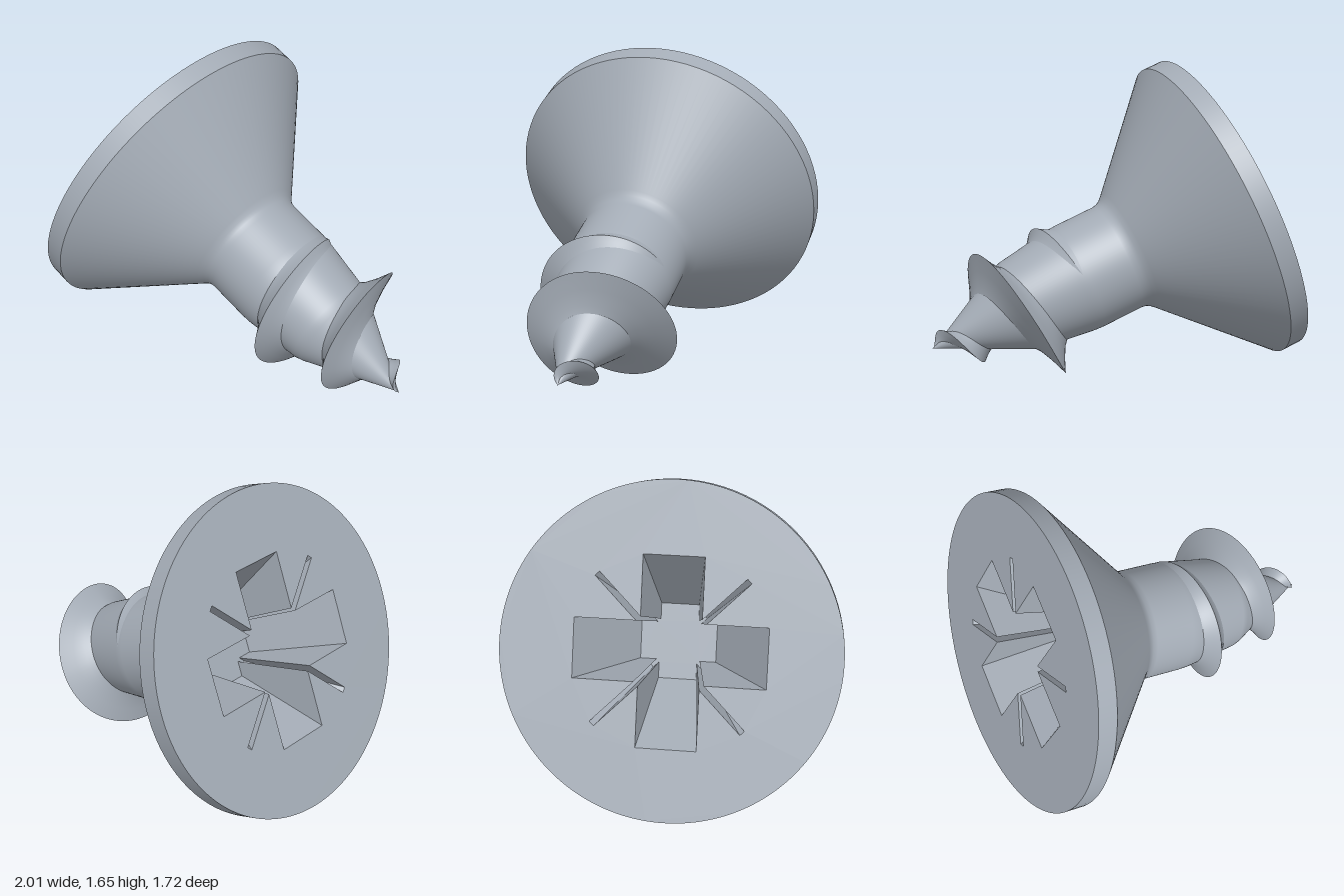
import * as THREE from 'three';

const HEAD_R = 0.867, RIM = 0.105, LENGTH = 1.8;

// radius of the bare shank at a distance along the screw
function shankRadius(t) {
  if (t < 0.95) return 0.305;
  if (t < 1.3) return THREE.MathUtils.mapLinear(t, 0.95, 1.3, 0.305, 0.253);
  return Math.max(0, THREE.MathUtils.mapLinear(t, 1.3, LENGTH, 0.253, 0));
}

// cross outline with a thin diagonal slit in each inner corner
function crossPoints(reach, w, slit, s) {
  const pts = [];
  for (let k = 0; k < 4; k++) {
    const corner = [[reach, -w], [reach, w], [w + s, w], [slit + s, slit], [slit, slit + s], [w, w + s]];
    for (const [x, y] of corner) {
      pts.push(new THREE.Vector2(x, y).rotateAround(new THREE.Vector2(), k * Math.PI / 2));
    }
  }
  return pts;
}

// tapered side walls of the drive recess
function recessWalls(top, bottom, depth) {
  const pos = [];
  top.forEach((p, i) => {
    const j = (i + 1) % top.length, q = top[j], a = bottom[i], b = bottom[j];
    pos.push(p.x, p.y, 0, q.x, q.y, 0, a.x, a.y, -depth);
    pos.push(q.x, q.y, 0, b.x, b.y, -depth, a.x, a.y, -depth);
  });
  const g = new THREE.BufferGeometry();
  g.setAttribute('position', new THREE.Float32BufferAttribute(pos, 3));
  g.computeVertexNormals();
  return g;
}

// one flank of the helical thread: side +1 faces the tip, -1 the head
function threadFlank(side) {
  // per quarter turn: crest radius, distance along the screw, half width of the root
  const path = new THREE.CatmullRomCurve3([
    [0.295, 0.93, 0.07], [0.33, 1.008, 0.08], [0.38, 1.1, 0.09], [0.43, 1.2, 0.095],
    [0.44, 1.29, 0.095], [0.375, 1.383, 0.09], [0.285, 1.49, 0.085], [0.2, 1.575, 0.075],
    [0.14, 1.66, 0.06], [0.08, 1.74, 0.04], [0.005, LENGTH, 0.01],
  ].map((p) => new THREE.Vector3(...p)));
  const steps = 240, cols = 4, pos = [], index = [];
  for (let n = 0; n <= steps; n++) {
    const { x: crest, y: t, z: w } = path.getPoint(n / steps);
    const ang = (-0.25 + 2.5 * n / steps) * Math.PI * 2;
    const root = Math.max(0, shankRadius(t + side * w) - 0.008);
    for (let c = 0; c < cols; c++) {
      const f = c / (cols - 1);
      const r = THREE.MathUtils.lerp(root, crest, Math.pow(f, 1.4));
      pos.push(-Math.sin(ang) * r, t + side * w * (1 - f), -Math.cos(ang) * r);
      if (n < steps && c < cols - 1) {
        const a = n * cols + c, b = a + cols;
        if (side > 0) index.push(a, a + 1, b, b, a + 1, b + 1);
        else index.push(a, b, a + 1, b, b + 1, a + 1);
      }
    }
  }
  const g = new THREE.BufferGeometry();
  g.setAttribute('position', new THREE.Float32BufferAttribute(pos, 3));
  g.setIndex(index);
  g.computeVertexNormals();
  return g;
}

export function createModel() {
  const model = new THREE.Group();
  model.name = 'screw';
  const steel = new THREE.MeshStandardMaterial({ color: 0xa3abb5 });
  steel.name = 'steel';

  // screw is built along +y from the head face, then tilted
  const screw = new THREE.Group();
  screw.name = 'tiltedScrew';
  const add = (name, geometry, parent = screw) => {
    const mesh = new THREE.Mesh(geometry, steel);
    mesh.name = name;
    parent.add(mesh);
    return mesh;
  };
  const lathe = (pts) => new THREE.LatheGeometry(pts.map((p) => new THREE.Vector2(...p)), 96);

  // head rim, then countersunk cone blending into the shank
  add('headRim', lathe([[HEAD_R, 0], [HEAD_R, RIM]]));
  add('headConeAndShank', lathe([
    [HEAD_R, RIM], [0.345, 0.612], [0.323, 0.636], [0.31, 0.66], [0.305, 0.69],
    [0.305, 0.92], [0.302, 0.97], [0.258, 1.28], [0.244, 1.32], [0.01, 1.78], [0, LENGTH],
  ]));

  // flat head face with the cross recess
  const depth = 0.45;
  const top = crossPoints(0.49, 0.155, 0.37, 0.022);
  const bottom = crossPoints(0.2, 0.1, 0.13, 0.015);
  const face = new THREE.Shape().absarc(0, 0, HEAD_R, 0, Math.PI * 2);
  face.holes.push(new THREE.Path(top));
  const drive = new THREE.Group();
  drive.name = 'headFaceAndRecess';
  drive.rotation.x = Math.PI / 2;
  add('headFace', new THREE.ShapeGeometry(face, 96), drive);
  add('recessWalls', recessWalls(top, bottom, depth), drive);
  add('recessFloor', new THREE.ShapeGeometry(new THREE.Shape(bottom)), drive).position.z = -depth;
  screw.add(drive);

  // thread
  add('threadTipFlank', threadFlank(1));
  add('threadHeadFlank', threadFlank(-1));

  // tilt the screw so its tip points down to the left
  const axis = new THREE.Vector3(0.911, -0.368, 0.188).normalize();
  const side = new THREE.Vector3(axis.z, 0, -axis.x).normalize();
  const third = new THREE.Vector3().crossVectors(side, axis);
  screw.quaternion.setFromRotationMatrix(new THREE.Matrix4().makeBasis(side, axis, third));
  screw.position.set(-0.64, 0.853, -0.008);
  model.add(screw);
  return model;
}
